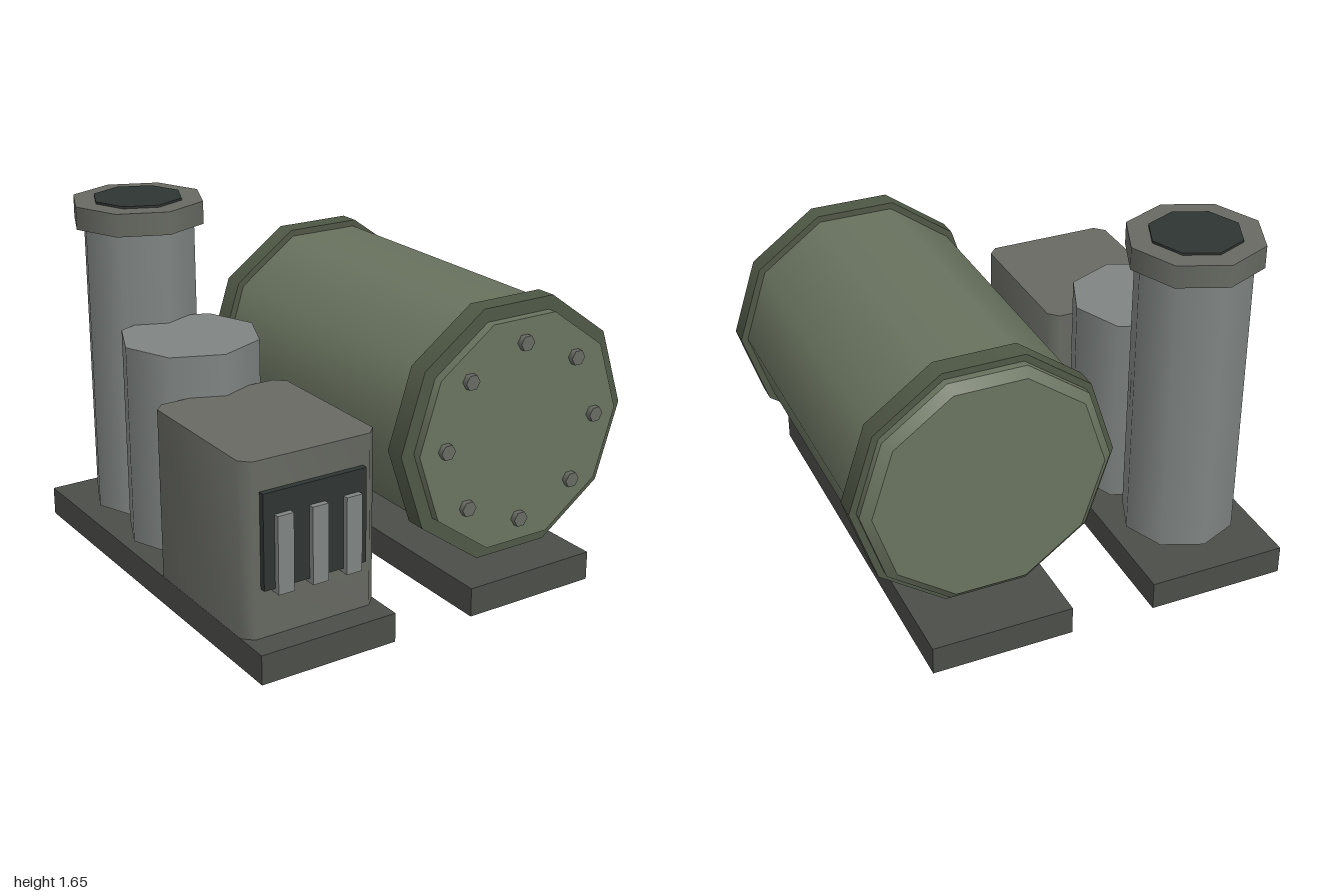
import * as THREE from 'three';
import { toCreasedNormals } from 'three/addons/utils/BufferGeometryUtils.js';

const mat = (color) => new THREE.MeshStandardMaterial({ color });

export function createModel() {
  const model = new THREE.Group();
  const green = mat(0x69735f), darkGreen = mat(0x4f5846);
  const steel = mat(0x7f8482), casing = mat(0x676962);
  const slab = mat(0x4b4d49), black = mat(0x2f3532);

  const add = (name, geometry, material, parent = model) => {
    const mesh = new THREE.Mesh(geometry, material);
    mesh.name = name;
    parent.add(mesh);
    return mesh;
  };
  // Box given by its lower and upper corners
  const box = (name, material, [x0, y0, z0], [x1, y1, z1]) =>
    add(name, new THREE.BoxGeometry(x1 - x0, y1 - y0, z1 - z0), material)
      .position.set((x0 + x1) / 2, (y0 + y1) / 2, (z0 + z1) / 2);
  // Upright octagonal column
  const column = (name, material, r, y0, y1, z) =>
    add(name, new THREE.CylinderGeometry(r, r, y1 - y0, 8), material)
      .position.set(-0.667, (y0 + y1) / 2, z);
  // Prism lying along z, with a corner pointing to +x
  const lying = (name, material, rFront, rBack, z0, z1, sides, parent) => {
    const g = new THREE.CylinderGeometry(rFront, rBack, z1 - z0, sides);
    g.rotateY(Math.PI / 2).rotateX(Math.PI / 2).translate(0, 0, (z0 + z1) / 2);
    return add(name, g, material, parent);
  };

  // Two floor slabs
  box('columnBase', slab, [-1, 0, -1], [-0.34, 0.135, 1]);
  box('tankBase', slab, [0.065, 0, -1], [0.73, 0.135, 1]);

  // Ten-sided tank with bands, end cover and chamfered rear
  const tank = new THREE.Group();
  tank.name = 'tank';
  tank.position.set(0.388, 0.77, 0);
  model.add(tank);
  lying('tankBody', green, 0.578, 0.578, -0.81, 0.85, 10, tank);
  lying('tankRearChamfer', green, 0.578, 0.535, -0.845, -0.81, 10, tank);
  lying('frontBand', darkGreen, 0.61, 0.61, 0.763, 0.86, 10, tank);
  lying('rearBand', darkGreen, 0.61, 0.61, -0.775, -0.675, 10, tank);
  lying('frontCover', green, 0.545, 0.545, 0.85, 0.903, 10, tank);
  for (let i = 0; i < 8; i++) {
    const a = (i * Math.PI) / 4;
    lying('coverBolt', casing, 0.037, 0.037, 0.895, 0.93, 6, tank)
      .position.set(0.412 * Math.cos(a), 0.412 * Math.sin(a), 0);
  }

  // Chimney with cap and dark mouth
  column('chimneyShaft', steel, 0.265, 0.172, 1.56, -0.61);
  column('chimneyCap', casing, 0.31, 1.54, 1.645, -0.61);
  column('chimneyMouth', black, 0.21, 1.6, 1.655, -0.61);

  // Middle column
  column('middleColumn', steel, 0.32, 0.183, 1.115, -0.145);

  // Machine casing with chamfered upright corners
  const w = 0.326, d = 0.381, c = 0.045;
  const outline = new THREE.Shape([
    [-w + c, -d], [w - c, -d], [w, -d + c], [w, d - c],
    [w - c, d], [-w + c, d], [-w, d - c], [-w, -d + c],
  ].map(([x, y]) => new THREE.Vector2(x, y)));
  const casingGeo = new THREE.ExtrudeGeometry(outline, { depth: 0.79, bevelEnabled: false });
  casingGeo.rotateX(-Math.PI / 2);
  add('casing', toCreasedNormals(casingGeo, 0.9), casing).position.set(-0.673, 0.135, 0.494);

  // Grille panel and bars
  box('grillePanel', black, [-0.925, 0.36, 0.86], [-0.427, 0.79, 0.903]);
  for (const x of [-0.835, -0.669, -0.503])
    box('grilleBar', steel, [x - 0.038, 0.34, 0.877], [x + 0.038, 0.69, 0.93]);

  return model;
}
